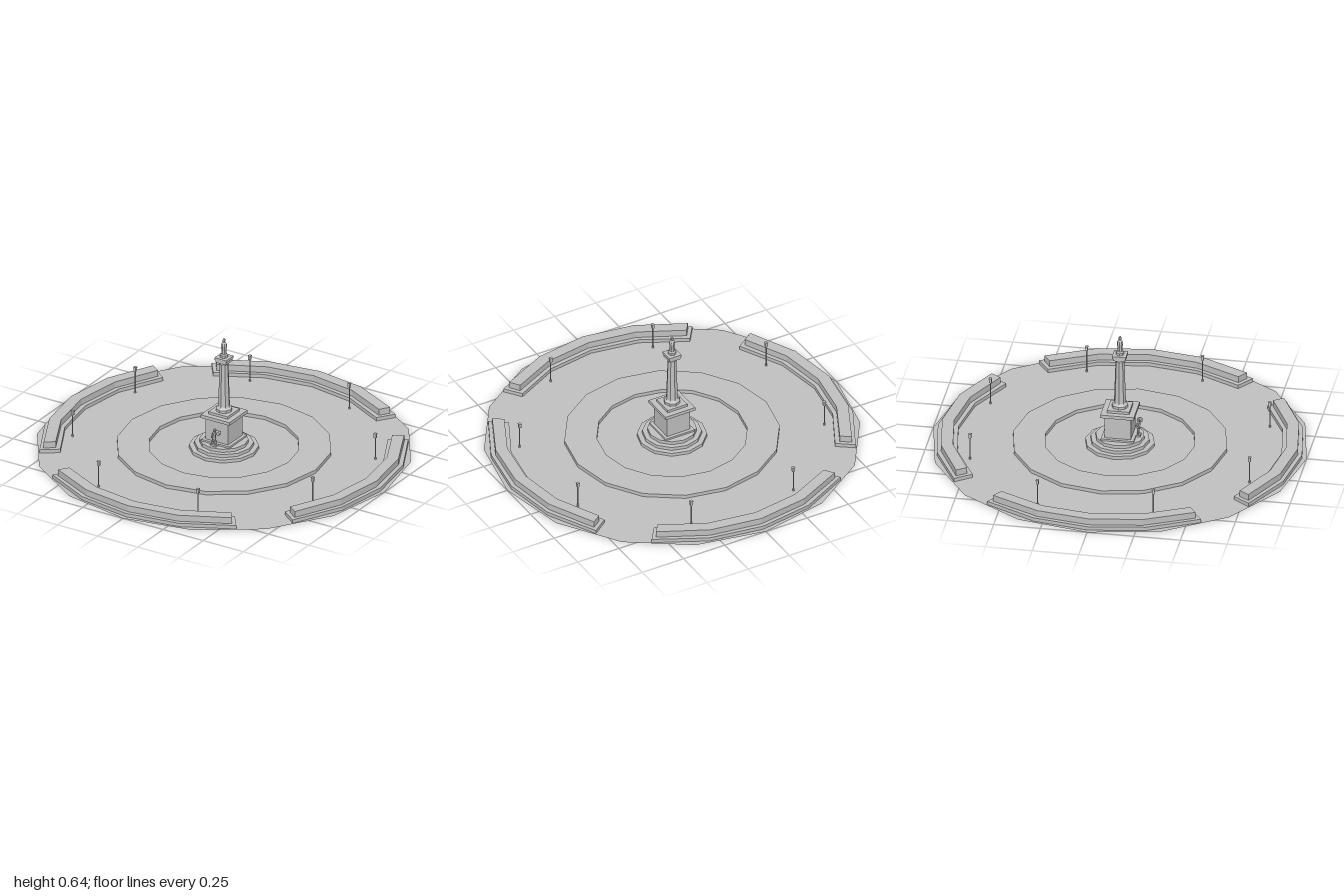
import * as THREE from 'three';

const stone = new THREE.MeshStandardMaterial({ color: 0xc0c0c0, flatShading: true, side: THREE.DoubleSide });
stone.name = 'stone';

function part(name, geometry, parent, x = 0, y = 0, z = 0) {
  const mesh = new THREE.Mesh(geometry, stone);
  mesh.name = name;
  mesh.position.set(x, y, z);
  parent.add(mesh);
  return mesh;
}

function lathe(points, sides) {
  return new THREE.LatheGeometry(points.map(([r, y]) => new THREE.Vector2(r, y)), sides);
}

// Box and cylinder placed by their lower and upper heights
function slab(name, parent, half, y0, y1) {
  part(name, new THREE.BoxGeometry(half * 2, y1 - y0, half * 2), parent, 0, (y0 + y1) / 2, 0);
}
function drum(name, parent, r0, r1, y0, y1, sides) {
  part(name, new THREE.CylinderGeometry(r1, r0, y1 - y0, sides), parent, 0, (y0 + y1) / 2, 0);
}

// Faceted arc block centred on +z, four segments long
function arcBlock(inner, outer, halfAngle, height) {
  const points = [];
  const add = (r, t) => points.push(new THREE.Vector2(r * Math.sin(t * halfAngle), -r * Math.cos(t * halfAngle)));
  for (let i = -2; i <= 2; i++) add(outer, i / 2);
  for (let i = 2; i >= -2; i--) add(inner, i / 2);
  const geometry = new THREE.ExtrudeGeometry(new THREE.Shape(points), { depth: height, bevelEnabled: false });
  return geometry.rotateX(-Math.PI / 2);
}

// Straight round limb between two points
function limb(name, parent, a, b, r0, r1) {
  const from = new THREE.Vector3(...a), to = new THREE.Vector3(...b);
  const dir = to.clone().sub(from);
  const mesh = part(name, new THREE.CylinderGeometry(r1, r0, dir.length(), 6), parent);
  mesh.position.copy(from).add(to).multiplyScalar(0.5);
  mesh.quaternion.setFromUnitVectors(new THREE.Vector3(0, 1, 0), dir.normalize());
}

export function createModel() {
  const model = new THREE.Group();
  model.name = 'monumentPlaza';

  // Thin paving with a raised, hollow ring
  part('paving', lathe([[1, 0], [0.572, 0], [0.572, 0.02], [0.4, 0.02], [0.4, 0], [0, 0]], 16), model);

  // Four curved walls on low plinths
  const deg = Math.PI / 180;
  for (let i = 0; i < 4; i++) {
    const wall = new THREE.Group();
    wall.name = 'curvedWall';
    wall.rotation.y = i * Math.PI / 2;
    part('wallPlinth', arcBlock(0.865, 0.975, 36 * deg, 0.02), wall);
    part('wallBody', arcBlock(0.888, 0.952, 34.7 * deg, 0.055), wall);
    model.add(wall);
  }

  // Eight lamp posts
  for (let i = 0; i < 8; i++) {
    const a = (22.5 + i * 45) * deg;
    const lamp = new THREE.Group();
    lamp.name = 'lampPost';
    lamp.position.set(0.81 * Math.sin(a), 0, 0.81 * Math.cos(a));
    drum('lampFoot', lamp, 0.006, 0.004, 0, 0.012, 6);
    drum('lampPole', lamp, 0.003, 0.003, 0, 0.128, 6);
    slab('lampHead', lamp, 0.0065, 0.126, 0.148);
    slab('lampCap', lamp, 0.008, 0.148, 0.152);
    model.add(lamp);
  }

  // Round steps and square pedestal
  const monument = new THREE.Group();
  monument.name = 'monument';
  model.add(monument);
  [0.185, 0.157, 0.13].forEach((r, i) => drum('step', monument, r, r, i * 0.018, (i + 1) * 0.018, 12));
  slab('pedestalFoot', monument, 0.088, 0.054, 0.064);
  slab('pedestal', monument, 0.07, 0.064, 0.19);
  slab('pedestalCornice', monument, 0.09, 0.19, 0.208);
  slab('columnPlinth', monument, 0.06, 0.208, 0.222);

  // Column, capital and crowning figure
  part('column', lathe([[0.044, 0.222], [0.044, 0.236], [0.034, 0.246], [0.032, 0.25], [0.024, 0.49],
    [0.029, 0.502], [0.029, 0.51]], 8), monument);
  slab('capital', monument, 0.033, 0.507, 0.522);
  slab('capitalTop', monument, 0.037, 0.522, 0.535);
  part('crowningFigure', lathe([[0.022, 0.535], [0.022, 0.548], [0.014, 0.554], [0.013, 0.575], [0.017, 0.6],
    [0.013, 0.614], [0.006, 0.62], [0.009, 0.63], [0.006, 0.639], [0, 0.645]], 8), monument);

  // Small statue at the front of the pedestal
  const statue = new THREE.Group();
  statue.name = 'statue';
  statue.position.set(0, 0.054, 0.098);
  monument.add(statue);
  part('statueBase', new THREE.BoxGeometry(0.036, 0.01, 0.026), statue, 0.002, 0.005, 0);
  for (const s of [-1, 1]) limb('leg', statue, [s * 0.009, 0.01, 0], [s * 0.004, 0.045, 0], 0.006, 0.007);
  limb('torso', statue, [0, 0.042, 0], [0.002, 0.076, 0], 0.009, 0.011);
  part('head', new THREE.IcosahedronGeometry(0.009, 1), statue, 0.003, 0.09, 0);
  limb('loweredArm', statue, [-0.009, 0.073, 0], [-0.013, 0.044, 0.006], 0.004, 0.003);
  limb('raisedArm', statue, [0.01, 0.073, 0], [0.024, 0.08, 0.006], 0.004, 0.003);
  part('wreath', new THREE.DodecahedronGeometry(0.016), statue, 0.026, 0.082, 0.004);

  return model;
}
